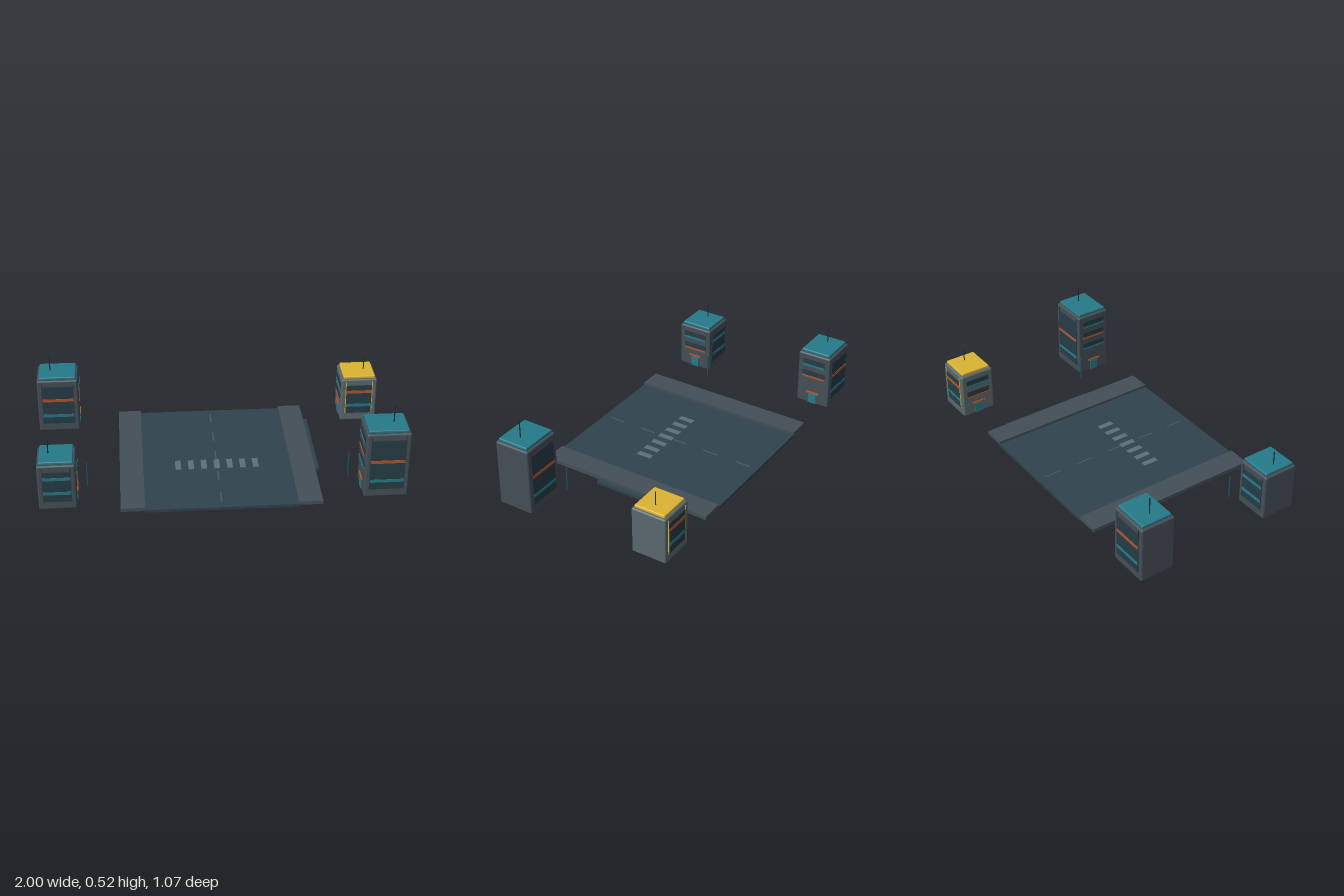
import * as THREE from 'three';
import { RoundedBoxGeometry } from 'three/addons/geometries/RoundedBoxGeometry.js';

const mat = (color) => new THREE.MeshStandardMaterial({ color });
const M = {
  road: mat(0x2f434d), walk: mat(0x444f57), wall: mat(0x454f57), paleWall: mat(0x5a686e),
  glass: mat(0x263c45), teal: mat(0x257a89), yellow: mat(0xdcb433), orange: mat(0xb0562a),
  paint: mat(0x5d6f77), dash: mat(0x455a64), metal: mat(0x232d33), post: mat(0x1d5260),
};

// Box given by its min and max corners; a radius rounds its edges
function block(parent, name, material, [x0, y0, z0], [x1, y1, z1], radius = 0) {
  const w = x1 - x0, h = y1 - y0, d = z1 - z0;
  const geo = radius ? new RoundedBoxGeometry(w, h, d, 2, radius) : new THREE.BoxGeometry(w, h, d);
  const mesh = new THREE.Mesh(geo, material);
  mesh.position.set((x0 + x1) / 2, (y0 + y1) / 2, (z0 + z1) / 2);
  mesh.name = name;
  parent.add(mesh);
  return mesh;
}

function pole(parent, name, material, x, z, y0, y1, r) {
  const mesh = new THREE.Mesh(new THREE.CylinderGeometry(r, r, y1 - y0, 8), material);
  mesh.position.set(x, (y0 + y1) / 2, z);
  mesh.name = name;
  parent.add(mesh);
}

function building({ name, x0, x1, z0, z1, top, mast, mastX, mastZ, wall, accent, bands }) {
  const g = new THREE.Group();
  g.name = name;
  const base = 0.02;
  const cx = (x0 + x1) / 2, cz = (z0 + z1) / 2;
  block(g, 'tower', wall, [x0, base, z0], [x1, top, z1], 0.01);
  block(g, 'roofSlab', accent, [x0 + 0.012, top - 0.002, z0 + 0.012], [x1 - 0.012, top + 0.017, z1 - 0.012], 0.006);
  pole(g, 'antenna', M.metal, mastX, mastZ, top, mast, 0.003);

  // Glazed panels with coloured bands on the front and back walls
  const half = (x1 - x0) / 2 - 0.027;
  for (const s of [-1, 1]) {
    const zf = s > 0 ? z1 : z0;
    const slab = (label, material, xa, xb, ya, yb, out) =>
      block(g, label, material, [xa, ya, Math.min(zf, zf + s * out)], [xb, yb, Math.max(zf, zf + s * out)]);
    slab('glassPanel', M.glass, cx - half, cx + half, 0.07, top - 0.038, 0.003);
    for (const [y, material] of bands)
      slab('facadeBand', material, cx - half, cx + half, y - 0.009, y + 0.009, 0.005);
    for (const e of [-1, 1]) {
      const xe = cx + e * half;
      slab('panelTrim', accent === M.yellow ? accent : M.glass, xe - 0.002, xe + 0.002, 0.07, top - 0.015, 0.004);
    }
  }

  // Street wall facing the road: door, canopy and window strips
  const s = cx > 0 ? -1 : 1;
  const xf = s > 0 ? x1 : x0;
  const inner = (label, material, ya, yb, za, zb, out) =>
    block(g, label, material, [Math.min(xf, xf + s * out), ya, za], [Math.max(xf, xf + s * out), yb, zb]);
  inner('door', M.teal, 0.025, 0.085, cz - 0.025, cz + 0.025, 0.004);
  inner('canopy', M.orange, 0.09, 0.1, cz - 0.04, cz + 0.04, 0.007);
  const rows = Math.floor((top - 0.13) / 0.075);
  for (let i = 0; i < rows; i++) {
    const y = top - 0.055 - i * 0.075;
    inner('windowStrip', M.glass, y - 0.02, y + 0.02, z0 + 0.03, z1 - 0.03, 0.003);
    inner('windowSill', i === 1 ? M.orange : M.teal, y - 0.022, y - 0.012, z0 + 0.03, z1 - 0.03, 0.006);
  }
  return g;
}

export function createModel() {
  const model = new THREE.Group();
  model.name = 'streetScene';

  // Road deck with a side tab, raised pavements on both sides
  const street = new THREE.Group();
  street.name = 'street';
  model.add(street);
  block(street, 'road', M.road, [-0.412, 0.002, -0.5], [0.412, 0.018, 0.53]);
  block(street, 'sideTab', M.road, [0.412, 0, -0.36], [0.565, 0.018, 0.18]);
  for (const s of [-1, 1])
    block(street, 'pavement', M.walk, [s > 0 ? 0.41 : -0.54, 0.013, -0.5], [s > 0 ? 0.54 : -0.41, 0.033, 0.53]);

  // Painted crossing and centre dashes
  for (let i = -3; i <= 3; i++)
    block(street, 'crossingStripe', M.paint, [i * 0.072 - 0.016, 0.017, 0.055], [i * 0.072 + 0.016, 0.021, 0.145]);
  for (let i = 0; i < 5; i++) {
    const z = -0.405 + i * 0.21;
    block(street, 'centreDash', M.dash, [-0.004, 0.017, z - 0.048], [0.004, 0.02, z + 0.048]);
  }

  // Slim bollards beside the front towers
  for (const x of [-0.715, 0.713])
    pole(model, 'bollard', M.post, x, 0.265, 0.02, 0.155, 0.005);

  // Four corner towers
  const low = [[0.21, M.teal], [0.122, M.teal]];
  model.add(
    building({ name: 'backLowTower', x0: 0.76, x1: 0.967, z0: -0.53, z1: -0.327, top: 0.289, mast: 0.385,
      mastX: 0.9, mastZ: -0.43, wall: M.paleWall, accent: M.yellow, bands: [[0.21, M.orange], [0.122, M.teal]] }),
    building({ name: 'backTallTower', x0: -1, x1: -0.767, z0: -0.53, z1: -0.327, top: 0.347, mast: 0.46,
      mastX: -0.925, mastZ: -0.43, wall: M.wall, accent: M.teal, bands: [[0.222, M.orange], [0.122, M.teal]] }),
    building({ name: 'frontLowTower', x0: -0.97, x1: -0.767, z0: 0.285, z1: 0.492, top: 0.289, mast: 0.385,
      mastX: -0.91, mastZ: 0.385, wall: M.wall, accent: M.teal, bands: low }),
    building({ name: 'frontTallTower', x0: 0.762, x1: 1, z0: 0.285, z1: 0.492, top: 0.407, mast: 0.52,
      mastX: 0.92, mastZ: 0.39, wall: M.wall, accent: M.teal, bands: [[0.24, M.orange], [0.122, M.teal]] }),
  );
  return model;
}
